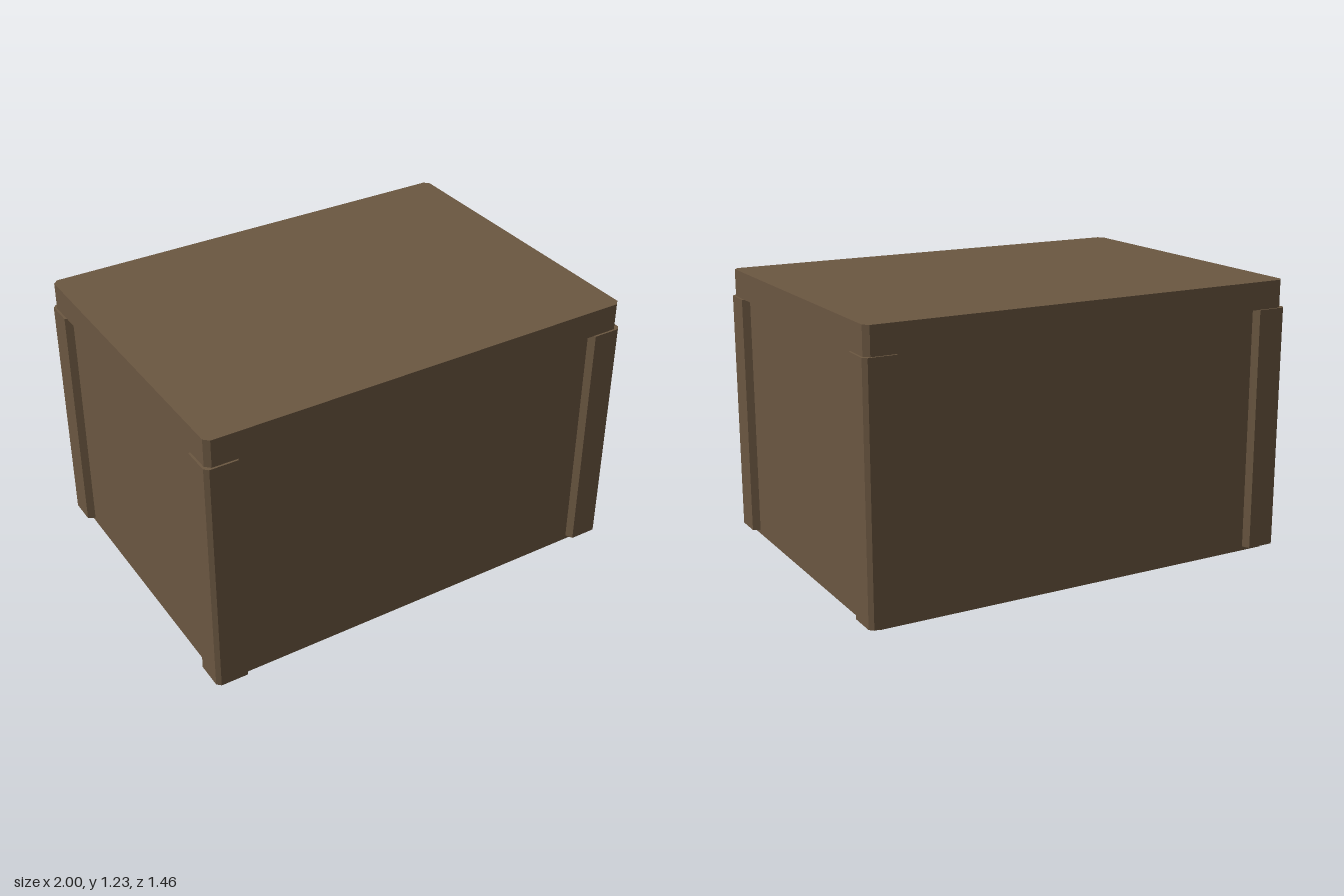
import * as THREE from 'three';

// Upright prism from a plan outline of [x, z] points
function prism(points, y0, y1) {
  const shape = new THREE.Shape(points.map(([x, z]) => new THREE.Vector2(x, -z)));
  const geometry = new THREE.ExtrudeGeometry(shape, { depth: y1 - y0, bevelEnabled: false });
  geometry.rotateX(-Math.PI / 2);
  geometry.translate(0, y0, 0);
  return geometry;
}

// Rectangle with chamfered corners, given by half sizes
function chamferedPlan(hx, hz, c) {
  return [
    [hx, -hz + c], [hx, hz - c], [hx - c, hz], [-hx + c, hz],
    [-hx, hz - c], [-hx, -hz + c], [-hx + c, -hz], [hx - c, -hz],
  ];
}

export function createModel() {
  const group = new THREE.Group();
  const brown = new THREE.MeshStandardMaterial({ color: 0x6b5741 });
  brown.name = 'brown';

  const add = (name, geometry) => {
    const mesh = new THREE.Mesh(geometry, brown);
    mesh.name = name;
    group.add(mesh);
  };

  // Box body and overhanging lid
  add('body', prism(chamferedPlan(0.968, 0.697, 0.022), 0, 1.105));
  add('lid', prism(chamferedPlan(0.99, 0.72, 0.022), 1.105, 1.227));

  // L-shaped corner guards with bevelled edges
  const guard = [
    [1, 0.592], [1, 0.712], [0.983, 0.729], [0.861, 0.729],
    [0.845, 0.696], [0.946, 0.696], [0.967, 0.675], [0.967, 0.576],
  ];
  for (const sx of [-1, 1]) {
    for (const sz of [-1, 1]) {
      const name = (sz > 0 ? 'front' : 'back') + (sx > 0 ? 'Left' : 'Right') + 'CornerGuard';
      add(name, prism(guard.map(([x, z]) => [x * sx, z * sz]), 0.018, 1.105));
    }
  }
  return group;
}
